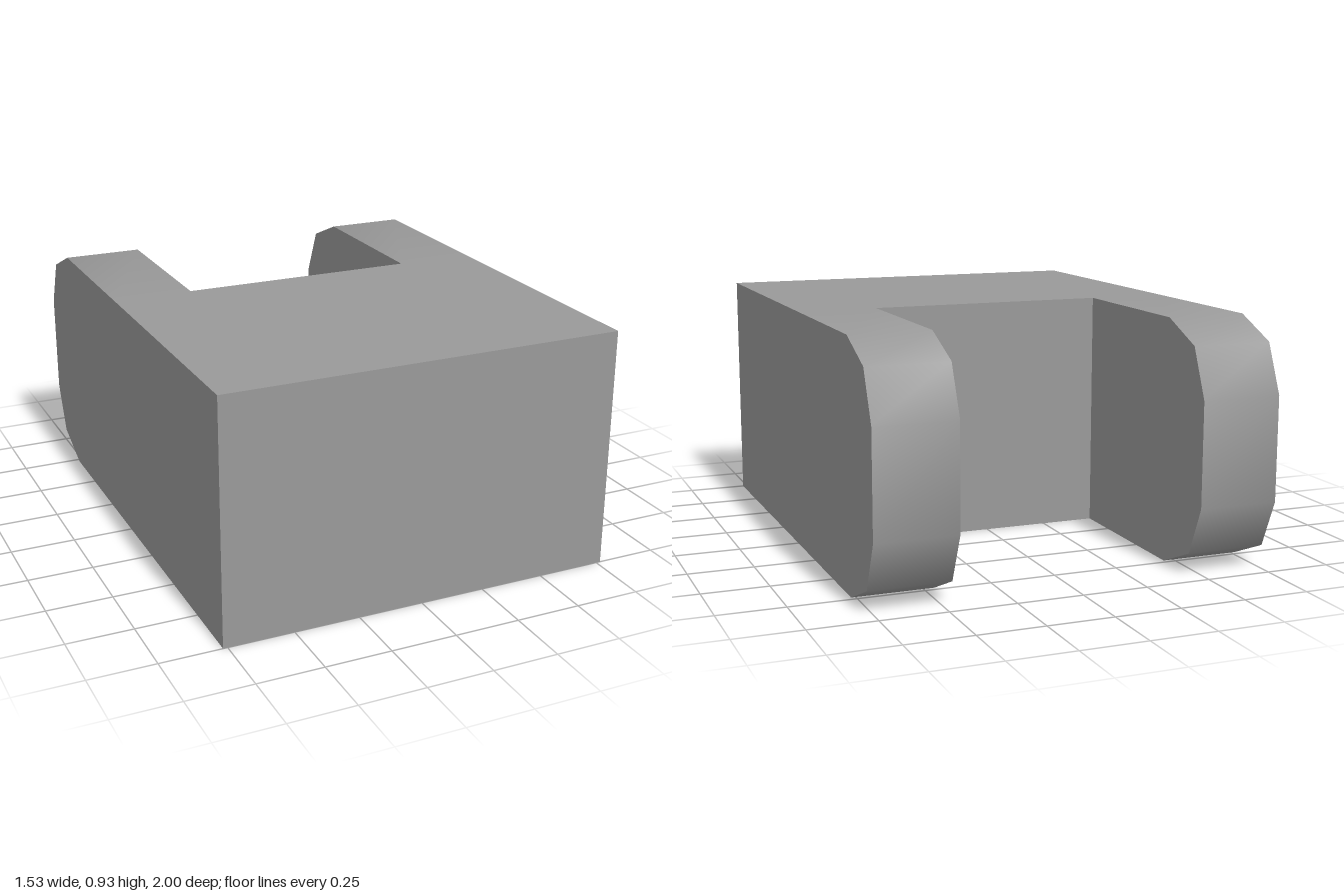
import * as THREE from 'three';
import { toCreasedNormals } from 'three/addons/utils/BufferGeometryUtils.js';

const HEIGHT = 0.925, OUTER = 0.767, INNER = 0.46, SLOT_Z = -0.08;

export function createModel() {
  const grey = new THREE.MeshStandardMaterial({ color: 0x999999 });
  grey.name = 'plain grey';
  const model = new THREE.Group();
  model.name = 'forkedBlock';

  // Solid middle between the arms, ending at the slot
  const middle = new THREE.Mesh(
    new THREE.BoxGeometry(INNER * 2, HEIGHT, 1 - SLOT_Z), grey);
  middle.position.set(0, HEIGHT / 2, (1 + SLOT_Z) / 2);
  middle.name = 'body';
  model.add(middle);

  // Side profile of an arm as (-z, y): square front, faceted round back
  const lower = [[-1, 0], [-SLOT_Z, 0], [0.73, 0], [0.92, 0.08], [1, 0.265]];
  const upper = lower.map(([x, y]) => [x, HEIGHT - y]).reverse();
  const profile = new THREE.Shape(
    [...lower, ...upper].map(([x, y]) => new THREE.Vector2(x, y)));
  const extruded = new THREE.ExtrudeGeometry(profile, {
    depth: OUTER - INNER, bevelEnabled: false,
  });
  extruded.rotateY(Math.PI / 2);
  const armGeometry = toCreasedNormals(extruded, Math.PI / 3);

  // Matching arms on both sides
  for (const [name, x] of [['leftArm', INNER], ['rightArm', -OUTER]]) {
    const arm = new THREE.Mesh(armGeometry, grey);
    arm.position.x = x;
    arm.name = name;
    model.add(arm);
  }
  return model;
}
